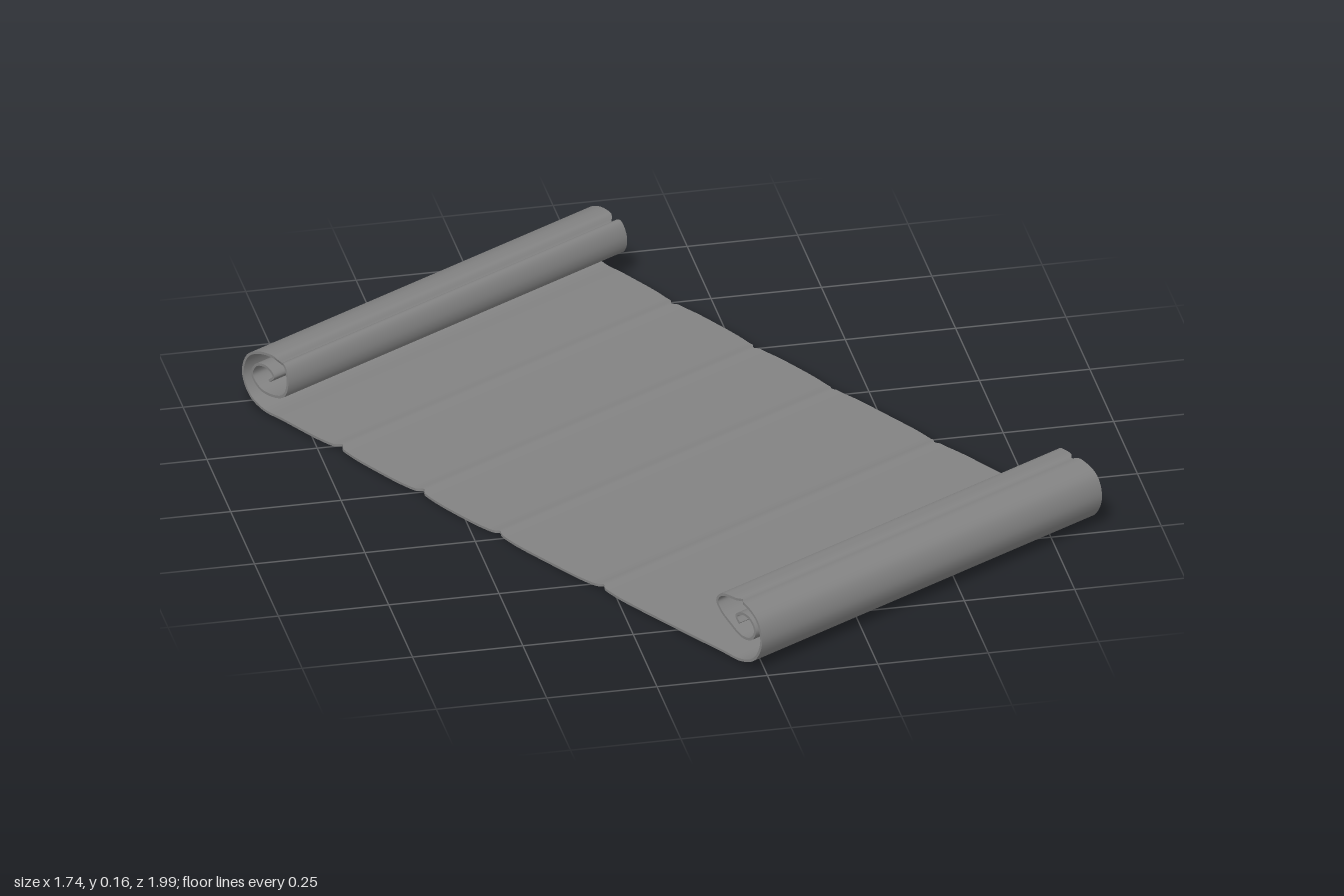
import * as THREE from 'three';
import { mergeGeometries } from 'three/addons/utils/BufferGeometryUtils.js';

const THICKNESS = 0.006;

// Side profiles as [z, y]: flat sheet between two curled ends
const frontCurl = [
  [0.72, 0.010], [0.79, 0.012], [0.832, 0.032], [0.854, 0.08], [0.84, 0.128], [0.80, 0.15],
  [0.75, 0.153], [0.72, 0.148], [0.708, 0.13], [0.72, 0.11], [0.75, 0.09], [0.79, 0.072],
  [0.82, 0.077], [0.833, 0.1], [0.818, 0.122], [0.787, 0.126], [0.768, 0.114], [0.78, 0.1],
];
const backCurl = [
  [-0.72, 0.014], [-0.79, 0.015], [-0.832, 0.034], [-0.855, 0.08], [-0.84, 0.128], [-0.80, 0.151],
  [-0.755, 0.154], [-0.723, 0.145], [-0.71, 0.108], [-0.722, 0.074], [-0.76, 0.06], [-0.8, 0.063],
  [-0.825, 0.088], [-0.812, 0.116], [-0.782, 0.123], [-0.757, 0.108], [-0.77, 0.092],
];
const flat = [[-0.54, 0.011], [-0.28, 0.007], [-0.02, 0.004], [0.32, 0.005], [0.55, 0.007]];

// Creases across the sheet and the rolls as [z, y, height, radius]
const creases = [
  ...[-0.545, -0.275, -0.02, 0.32].map((z) => [z, 0.01, 0.003, 0.016]),
  [-0.743, 0.152, -0.013, 0.009],
  [0.775, 0.152, -0.003, 0.012],
];
const bump = (d, r) => Math.exp(-((d / r) ** 2));

// Smooth band between two rows of points
function strip(a, b) {
  const geo = new THREE.BufferGeometry().setFromPoints([...a, ...b]);
  const n = a.length;
  const index = [];
  for (let i = 0; i < n - 1; i++) {
    index.push(i, n + i, n + i + 1, i, n + i + 1, i + 1);
  }
  geo.setIndex(index);
  geo.computeVertexNormals();
  return geo;
}

function sheetGeometry() {
  const points = [...backCurl.slice().reverse(), ...flat, ...frontCurl];
  const curve = new THREE.CatmullRomCurve3(points.map(([z, y]) => new THREE.Vector3(0, y, z)));
  curve.arcLengthDivisions = 2000;
  const path = curve.getSpacedPoints(800);

  // Narrow notches in the side edges where a crease runs out
  const widths = path.map((p) => creases.reduce((w, [z, y]) => {
    const d = Math.hypot(p.z - z, p.y - y);
    return w - 0.011 * bump(d, 0.008) - 0.006 * bump(d, 0.05);
  }, 0.508));

  // Ridges on the sheet, grooves on the rolls
  for (const p of path) {
    const level = p.y;
    for (const [z, y, height, radius] of creases) {
      if (Math.abs(level - y) < 0.017) p.y += height * bump(p.z - z, radius);
    }
  }

  const topL = [], topR = [], lowL = [], lowR = [];
  path.forEach((p, i) => {
    const t = path[Math.min(i + 1, path.length - 1)].clone().sub(path[Math.max(i - 1, 0)]).normalize();
    const ny = t.z * THICKNESS / 2, nz = -t.y * THICKNESS / 2;
    const w = widths[i];
    topR.push(new THREE.Vector3(w, p.y + ny, p.z + nz));
    topL.push(new THREE.Vector3(-w, p.y + ny, p.z + nz));
    lowR.push(new THREE.Vector3(w, p.y - ny, p.z - nz));
    lowL.push(new THREE.Vector3(-w, p.y - ny, p.z - nz));
  });

  const e = path.length - 1;
  return mergeGeometries([
    strip(topR, topL),
    strip(lowL, lowR),
    strip(lowR, topR),
    strip(topL, lowL),
    strip([topL[0], lowL[0]], [topR[0], lowR[0]]),
    strip([lowL[e], topL[e]], [lowR[e], topR[e]]),
  ]);
}

export function createModel() {
  const group = new THREE.Group();
  group.name = 'scroll';

  // Dark grey parchment sheet, turned diagonally on the ground
  const sheet = new THREE.Mesh(sheetGeometry(), new THREE.MeshStandardMaterial({ color: 0x828282 }));
  sheet.name = 'parchment';
  sheet.rotation.y = Math.PI / 6;
  group.add(sheet);
  return group;
}
